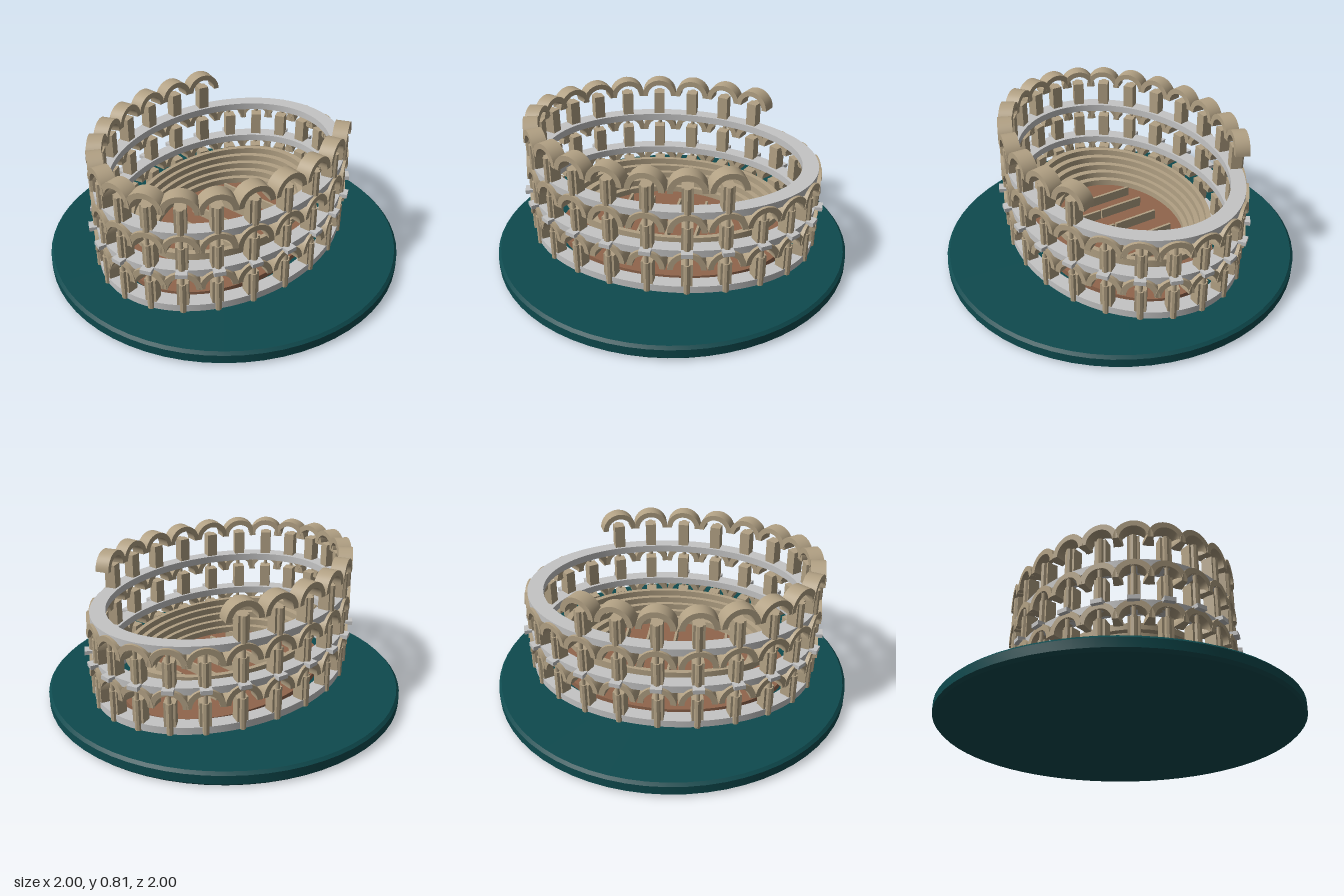
import * as THREE from 'three';
import { toCreasedNormals } from 'three/addons/utils/BufferGeometryUtils.js';

const material = (name, color) => {
  const m = new THREE.MeshStandardMaterial({ color });
  m.name = name;
  return m;
};

export function createModel() {
  const model = new THREE.Group();
  model.name = 'amphitheatre';
  const stone = material('tan stone', 0xb2a184);
  const marble = material('pale grey marble', 0xc4c4c4);
  const sand = material('terracotta floor', 0x90654c);
  const teal = material('dark teal', 0x0e4a4e);

  const add = (parent, name, geometry, mat, x = 0, y = 0, z = 0) => {
    const mesh = new THREE.Mesh(geometry, mat);
    mesh.name = name;
    mesh.position.set(x, y, z);
    parent.add(mesh);
    return mesh;
  };

  // Flat elliptical slab, optionally hollow, with its underside at y = 0
  const ellipse = (rx, rz, height, holeX = 0, holeZ = 0) => {
    const shape = new THREE.Shape().absellipse(0, 0, rx, rz, 0, Math.PI * 2);
    if (holeX) shape.holes.push(new THREE.Path().absellipse(0, 0, holeX, holeZ, 0, Math.PI * 2, true));
    const g = new THREE.ExtrudeGeometry(shape, { depth: height, bevelEnabled: false, curveSegments: 64 });
    return toCreasedNormals(g.rotateX(-Math.PI / 2), 0.5);
  };

  // Chamfered round base
  const profile = [[0, 0.005], [0.985, 0.005], [1, 0.02], [1, 0.068], [0.985, 0.083], [0, 0.083]];
  const base = new THREE.LatheGeometry(profile.map(([r, y]) => new THREE.Vector2(r, y)), 64);
  add(model, 'base', toCreasedNormals(base, 0.5), teal);

  // Arena floor and the low walls across it
  add(model, 'arenaFloor', ellipse(0.66, 0.465, 0.034), sand, 0, 0.081, 0);
  for (const x of [-0.3, -0.163, 0, 0.163, 0.297]) {
    add(model, 'arenaWall', new THREE.BoxGeometry(0.014, 0.06, 0.27), stone, x, 0.143, -0.105);
    add(model, 'arenaWall', new THREE.BoxGeometry(0.014, 0.06, 0.235), stone, x, 0.143, 0.157);
  }

  // Seating tiers, rising outwards
  for (let i = 0; i < 5; i++) {
    const rx = 0.44 + i * 0.037;
    const rz = 0.325 + i * 0.024;
    add(model, 'seatingTier', ellipse(rx + 0.037, rz + 0.024, 0.035, rx, rz), stone, 0, 0.167 + i * 0.035, 0);
  }

  // Shared parts of each bay
  const archShape = new THREE.Shape();
  archShape.absarc(0, 0, 0.1, 0, Math.PI, false);
  archShape.absarc(0, 0, 0.07, Math.PI, 0, true);
  const archGeometry = toCreasedNormals(
    new THREE.ExtrudeGeometry(archShape, { depth: 0.08, bevelEnabled: false, curveSegments: 10 })
      .translate(0, 0, -0.04), 0.2);
  const pierGeometry = new THREE.BoxGeometry(0.06, 0.175, 0.06);
  const columnGeometry = toCreasedNormals(new THREE.CylinderGeometry(0.018, 0.018, 0.175, 8), 0.2);
  const stubGeometry = new THREE.CylinderGeometry(0.011, 0.011, 0.06, 8);
  const blockGeometry = new THREE.BoxGeometry(0.06, 0.023, 0.05);

  // Three storeys of arcades on an ellipse; the top one is broken off on one side
  const RX = 0.78, RZ = 0.58, BAYS = 24;
  for (let level = 0; level < 3; level++) {
    const storey = new THREE.Group();
    storey.name = 'storey';
    storey.position.y = 0.11 + level * 0.2225;
    model.add(storey);
    add(storey, 'floorRing', ellipse(0.805, 0.605, 0.04, 0.717, 0.53), marble);

    for (let i = 0; i < BAYS; i++) {
      if (level === 2 && (i < 4 || i > BAYS - 4)) continue;
      const a = (i / BAYS) * Math.PI * 2;
      const bay = new THREE.Group();
      bay.name = 'bay';
      bay.position.set(RX * Math.cos(a), 0, RZ * Math.sin(a));
      bay.rotation.y = Math.atan2(Math.cos(a) / RX, Math.sin(a) / RZ);
      storey.add(bay);
      add(bay, 'pier', pierGeometry, stone, 0, 0.0875, -0.008);
      add(bay, 'engagedColumn', columnGeometry, stone, 0, 0.0875, 0.022);
      add(bay, 'arch', archGeometry, stone, 0, 0.155, 0);
      if (level < 2) add(bay, 'columnNeck', stubGeometry, stone, 0, 0.2, 0.022);
      if (level === 1) add(bay, 'corniceBlock', blockGeometry, marble, 0, 0.032, 0.04);
    }
  }
  return model;
}
